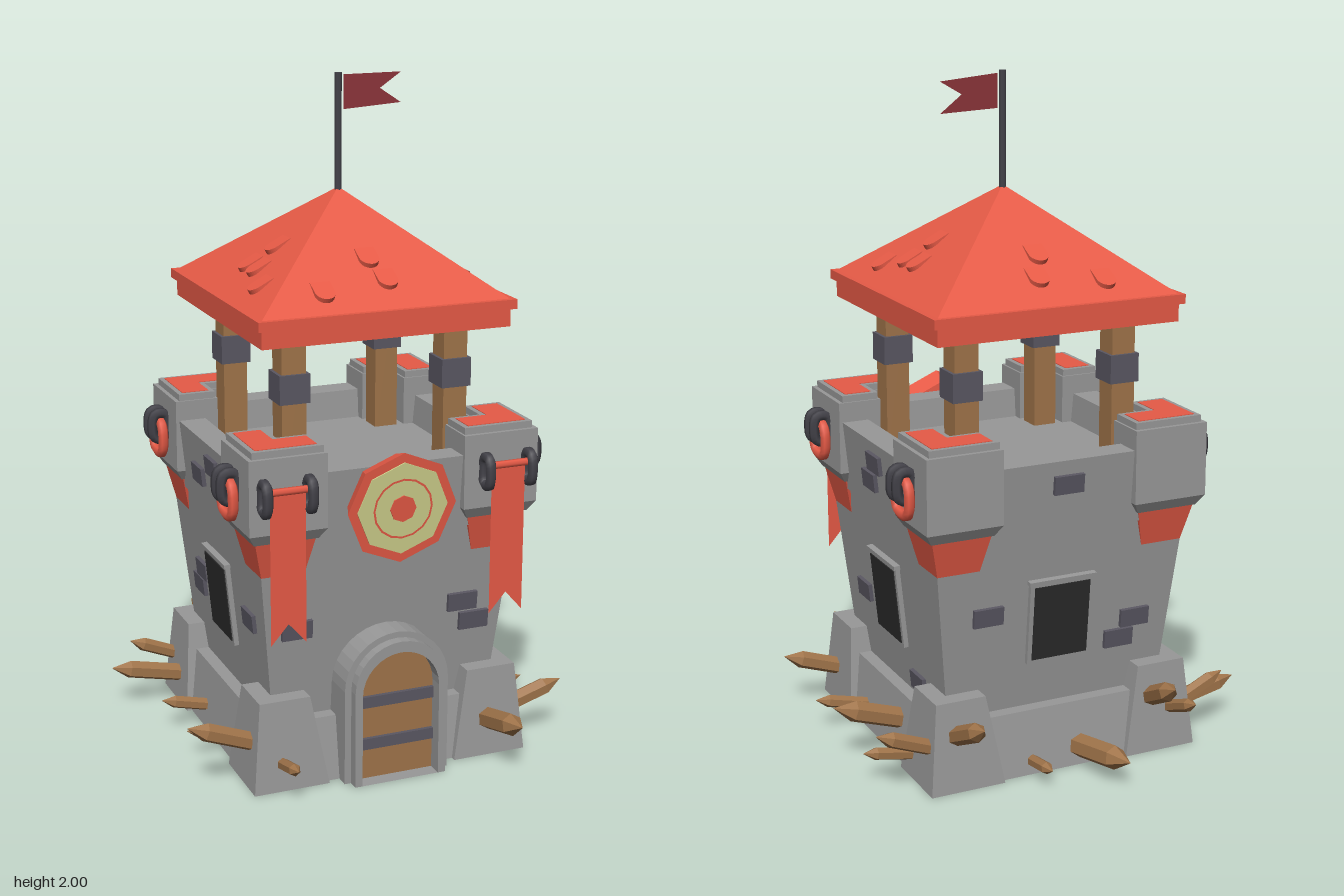
import * as THREE from 'three';

const mat = (name, color, extra = {}) => {
  const m = new THREE.MeshStandardMaterial({ color, ...extra });
  m.name = name;
  return m;
};

export function createModel() {
  const stone = mat('grey stone', 0x989898, { side: THREE.DoubleSide });
  const brick = mat('dark brick', 0x5a5762);
  const red = mat('red paint', 0xe65a46, { side: THREE.DoubleSide });
  const flagRed = mat('flag red', 0x983a40, { side: THREE.DoubleSide });
  const wood = mat('wood', 0xa0744a);
  const iron = mat('dark iron', 0x434249);
  const black = mat('window black', 0x2b2b2b);
  const yellow = mat('shield yellow', 0xd0d18c);

  const model = new THREE.Group();
  model.name = 'watchtower';
  const tower = new THREE.Group();
  tower.name = 'tower';
  tower.position.x = 0.015;
  model.add(tower);

  const add = (parent, name, geo, material, x = 0, y = 0, z = 0) => {
    const m = new THREE.Mesh(geo, material);
    m.name = name;
    m.position.set(x, y, z);
    parent.add(m);
    return m;
  };
  const box = (w, h, d) => new THREE.BoxGeometry(w, h, d);
  // tapered block between two rectangles [x0, x1, z0, z1]
  const taper = (y0, a, y1, b) => {
    const g = box(1, 1, 1), p = g.attributes.position;
    for (let i = 0; i < p.count; i++) {
      const up = p.getY(i) > 0, r = up ? b : a;
      p.setXYZ(i, r[p.getX(i) > 0 ? 1 : 0], up ? y1 : y0, r[p.getZ(i) > 0 ? 3 : 2]);
    }
    g.computeVertexNormals();
    return g;
  };
  // the same block without its bottom, and optionally without its top
  const hollow = (g, openTop) => {
    const i = [...g.index.array];
    i.splice(openTop ? 12 : 18, openTop ? 12 : 6);
    g.setIndex(i);
    g.clearGroups();
    return g;
  };
  const sq = (h) => [-h, h, -h, h];
  const polygon = (pts) => new THREE.Shape(pts.map(([x, y]) => new THREE.Vector2(x, y)));
  const extrude = (shape, depth) =>
    new THREE.ExtrudeGeometry(shape, { depth, bevelEnabled: false, curveSegments: 8 });
  const flat = (geo) => {
    const g = geo.toNonIndexed();
    g.computeVertexNormals();
    return g;
  };
  // flat slab from a plan outline, its top at y = 0
  const slab = (shape, depth) => extrude(shape, depth).rotateX(Math.PI / 2);
  const frame = (outer, inner, depth) => {
    const s = polygon([[-outer, -outer], [outer, -outer], [outer, outer], [-outer, outer]]);
    s.holes.push(polygon([[-inner, -inner], [-inner, inner], [inner, inner], [inner, -inner]]));
    return slab(s, depth);
  };
  const wallAt = (y) => y > 0.73 ? 0.41 + (y - 0.73) * 0.105 : 0.345 + (y - 0.19) * 0.1;

  // four sides: front, +x, back, -x
  const sides = [0, 1, 2, 3].map((k) => {
    const g = new THREE.Group();
    g.name = ['frontSide', 'leftSide', 'backSide', 'rightSide'][k];
    g.rotation.y = k * Math.PI / 2;
    tower.add(g);
    return g;
  });
  const onWall = (k, name, geo, material, u, y, out = 0) => {
    const m = add(sides[k], name, geo, material, u, y, wallAt(y) + out);
    m.rotation.x = 0.1;
    return m;
  };

  // main body, hollow and open at the bottom
  add(tower, 'skirt', hollow(taper(0, sq(0.415), 0.19, sq(0.385)), true), stone);
  add(tower, 'skirtLedge', frame(0.385, 0.34, 0.01), stone, 0, 0.19);
  add(tower, 'body', hollow(taper(0.18, sq(0.344), 0.73, sq(0.4)), false), stone);
  add(tower, 'floor', taper(0.73, sq(0.37), 0.86, sq(0.37)), stone);

  // closed oval link lying in the XY plane
  const link = (w, h, r) => {
    const pts = [];
    for (let i = 0; i < 12; i++) {
      const a = i * Math.PI / 6, c = Math.cos(a), s = Math.sin(a);
      pts.push(new THREE.Vector3(w * Math.sign(c) * Math.abs(c) ** 0.7, h * Math.sign(s) * Math.abs(s) ** 0.7, 0));
    }
    return new THREE.TubeGeometry(new THREE.CatmullRomCurve3(pts, true), 24, r, 6, true);
  };
  const ironLink = (parent, u, y) =>
    add(parent, 'chainLink', link(0.025, 0.042, 0.016), iron, u, y, 0.465).rotation.y = Math.PI / 2;

  const corner = (a, b) => polygon([[b, 0.21 + a], [b, b], [0.21 + a, b], [0.21 + a, 0.31 + a], [0.31 + a, 0.31 + a], [0.31 + a, 0.21 + a]]);
  sides.forEach((s, k) => {
    add(s, 'parapet', taper(0.73, [-0.41, 0.41, 0.33, 0.41], 0.95, [-0.433, 0.433, 0.35, 0.433]), stone);
    // corner buttress, turret and post
    add(s, 'buttress', hollow(taper(0, [0.2, 0.431, 0.2, 0.431], 0.27, [0.25, 0.405, 0.25, 0.405]), false), stone);
    add(s, 'turretRedFoot', taper(0.64, [0.262, 0.39, 0.262, 0.39], 0.76, [0.235, 0.418, 0.235, 0.418]), red);
    add(s, 'turretCollar', taper(0.757, [0.23, 0.423, 0.23, 0.423], 0.79, [0.21, 0.443, 0.21, 0.443]), stone);
    add(s, 'turret', slab(corner(0, 0.443), 0.22), stone, 0, 1.01);
    add(s, 'turretCap', slab(corner(0.006, 0.43), 0.02), stone, 0, 1.03);
    add(s, 'turretRedTop', slab(corner(0.022, 0.415), 0.006), red, 0, 1.032);
    add(s, 'post', box(0.074, 0.52, 0.074), wood, 0.25, 1.08, 0.25);
    add(s, 'postBand', box(0.092, 0.085, 0.092), brick, 0.25, 1.157, 0.25);
    // hanging rings on the two flanks
    if (k % 2) {
      for (const u of [-0.325, 0.325]) {
        add(s, 'redRing', link(0.05, 0.052, 0.016), red, u, 0.877, 0.465);
        for (const d of [-0.021, 0.021]) ironLink(s, u + d, 0.912);
      }
    }
    // windows
    if (k) {
      onWall(k, 'windowFrame', box(0.205, 0.255, 0.03), stone, 0, 0.457);
      onWall(k, 'windowLintel', box(0.215, 0.012, 0.04), stone, 0, 0.585);
      onWall(k, 'windowPane', box(0.178, 0.23, 0.006), black, 0, 0.455, 0.015);
    }
  });

  // scattered bricks: side, across, height
  [[0, -0.28, 0.47], [0, 0.24, 0.485], [0, 0.28, 0.42],
    [1, 0.035, 0.89], [1, -0.015, 0.825], [1, -0.2, 0.415], [1, 0.165, 0.24],
    [2, 0.0, 0.88], [2, -0.23, 0.5], [2, 0.25, 0.42], [2, 0.2, 0.36],
    [3, -0.05, 0.83], [3, 0.09, 0.89], [3, -0.17, 0.48], [3, -0.21, 0.42], [3, 0.25, 0.47],
  ].forEach(([k, u, y]) => onWall(k, 'brick', box(0.093, 0.055, 0.025), brick, u, y));

  // banners on the front turrets
  for (const m of [-1, 1]) {
    const u = 0.338 * m;
    add(sides[0], 'banner', new THREE.ShapeGeometry(polygon(
      [[-0.053, 0], [-0.053, -0.45], [0, -0.39], [0.053, -0.45], [0.053, 0]].reverse())), red, u, 0.92, 0.467);
    add(sides[0], 'bannerRod', new THREE.CylinderGeometry(0.011, 0.011, 0.13, 6).rotateZ(Math.PI / 2), red, u, 0.92, 0.463);
    for (const d of [-0.067, 0.067]) ironLink(sides[0], u + d, 0.905);
  }

  // shield
  const shield = new THREE.Group();
  shield.name = 'shield';
  shield.position.set(0, 0.837, 0.452);
  shield.rotation.x = 0.08;
  sides[0].add(shield);
  const disc = (r0, r1, h, n) => flat(new THREE.CylinderGeometry(r0, r1, h, n).rotateX(Math.PI / 2));
  add(shield, 'shieldRim', disc(0.166, 0.142, 0.06, 8), red);
  add(shield, 'shieldFace', disc(0.138, 0.138, 0.006, 8), yellow, 0, 0, 0.031);
  add(shield, 'shieldRing', new THREE.RingGeometry(0.085, 0.091, 16), red, 0, 0, 0.0355);
  add(shield, 'shieldBoss', disc(0.04, 0.04, 0.008, 8), red, 0, 0, 0.033);

  // arched door
  const arch = (r, spring, Kind = THREE.Shape) => {
    const p = new Kind();
    p.moveTo(r, 0);
    p.lineTo(r, spring);
    p.absarc(0, spring, r, 0, Math.PI, false);
    p.lineTo(-r, 0);
    p.closePath();
    return p;
  };
  const archRing = (r, spring, depth) => {
    const s = arch(r, spring);
    s.holes.push(arch(0.12, 0.28, THREE.Path));
    return extrude(s, depth);
  };
  add(sides[0], 'doorSurround', archRing(0.163, 0.288, 0.125), stone, 0, 0, 0.33);
  add(sides[0], 'doorArch', archRing(0.143, 0.29, 0.157), stone, 0, 0, 0.33);
  add(sides[0], 'door', extrude(arch(0.121, 0.28), 0.022), wood, 0, 0, 0.418);
  for (const y of [0.112, 0.243]) add(sides[0], 'doorBand', box(0.238, 0.034, 0.02), brick, 0, y, 0.442);

  // wooden spikes: side, base across, tip across, tip height, tip distance, width
  [[0, -0.34, -0.345, 0.12, 0.56, 0.034], [0, 0.315, 0.315, 0.175, 0.64, 0.062],
    [1, 0.37, 0.383, 0.2, 0.58, 0.044], [1, 0.26, 0.27, 0.1, 0.575, 0.036], [1, 0.11, 0.115, 0.185, 0.605, 0.06],
    [1, -0.13, -0.145, 0.1, 0.565, 0.036], [1, -0.345, -0.355, 0.17, 0.59, 0.05],
    [2, 0.355, 0.355, 0.19, 0.565, 0.036], [2, 0.3, 0.265, 0.265, 0.595, 0.054], [2, 0.05, 0.095, 0.09, 0.64, 0.066],
    [2, -0.1, -0.1, 0.06, 0.535, 0.034], [2, -0.345, -0.345, 0.26, 0.6, 0.052],
    [3, -0.385, -0.375, 0.19, 0.56, 0.04], [3, -0.31, -0.31, 0.135, 0.64, 0.052], [3, -0.09, -0.09, 0.1, 0.545, 0.036],
    [3, 0.125, 0.125, 0.09, 0.535, 0.032], [3, 0.35, 0.355, 0.21, 0.605, 0.052],
  ].forEach(([k, u0, u1, y, d, w]) => {
    const dir = new THREE.Vector3(u1 - u0, y * 0.45, d - 0.36), len = dir.length(), tip = w * 1.1;
    const spike = new THREE.Group();
    spike.name = 'spike';
    spike.position.set(u0, y * 0.55, 0.36);
    spike.quaternion.setFromUnitVectors(new THREE.Vector3(0, 1, 0), dir.normalize());
    sides[k].add(spike);
    const part = (r0, h) => flat(new THREE.CylinderGeometry(r0, w * 0.54, h, 6));
    add(spike, 'spikeShaft', part(w * 0.54, len - tip), wood, 0, (len - tip) / 2);
    add(spike, 'spikePoint', part(0.001, tip), wood, 0, len - tip / 2);
  });

  // roof: two hollow eave frames and a hollow pyramid
  add(tower, 'lowerEave', frame(0.378, 0.34, 0.055), red, 0, 1.357);
  add(tower, 'upperEave', frame(0.392, 0.34, 0.028), red, 0, 1.383);
  const half = 0.376, base = 1.383, rise = 0.287;
  const pyramid = flat(new THREE.CylinderGeometry(0.001, half * Math.SQRT2, rise, 4, 1, true).rotateY(Math.PI / 4));
  add(tower, 'roof', pyramid, red, 0, base + rise / 2);

  // loose roof tiles, rounded and lifted at the lower end
  const tile = new THREE.Shape();
  tile.moveTo(0.03, 0.035);
  tile.lineTo(-0.03, 0.035);
  tile.lineTo(-0.03, -0.01);
  tile.absarc(0, -0.01, 0.03, Math.PI, Math.PI * 2, false);
  tile.closePath();
  const tileGeo = extrude(tile, 0.016).translate(0, 0, -0.008);
  const three = [[0, 0.22], [0.03, 0.287], [-0.17, 0.31]];
  const four = [[0.03, 0.2], [0.063, 0.27], [-0.007, 0.27], [0.173, 0.305]];
  sides.forEach((s, k) => (k % 2 ? four : three).forEach(([u, r]) => {
    const across = k === 1 || k === 2 ? -u : u;
    const t = add(s, 'roofTile', tileGeo, red, across, base + rise * (1 - r / half), r);
    t.rotation.x = -Math.atan2(half, rise) - 0.17;
  }));

  // flagpole and swallowtail flag
  add(tower, 'flagpole', new THREE.CylinderGeometry(0.011, 0.011, 0.36, 8), iron, 0, 1.82);
  add(tower, 'flag', new THREE.ShapeGeometry(polygon(
    [[0.02, -0.1], [0.25, -0.098], [0.165, -0.05], [0.25, -0.008], [0.02, 0]])), flagRed, 0, 1.993).rotation.y = 0.35;

  return model;
}
